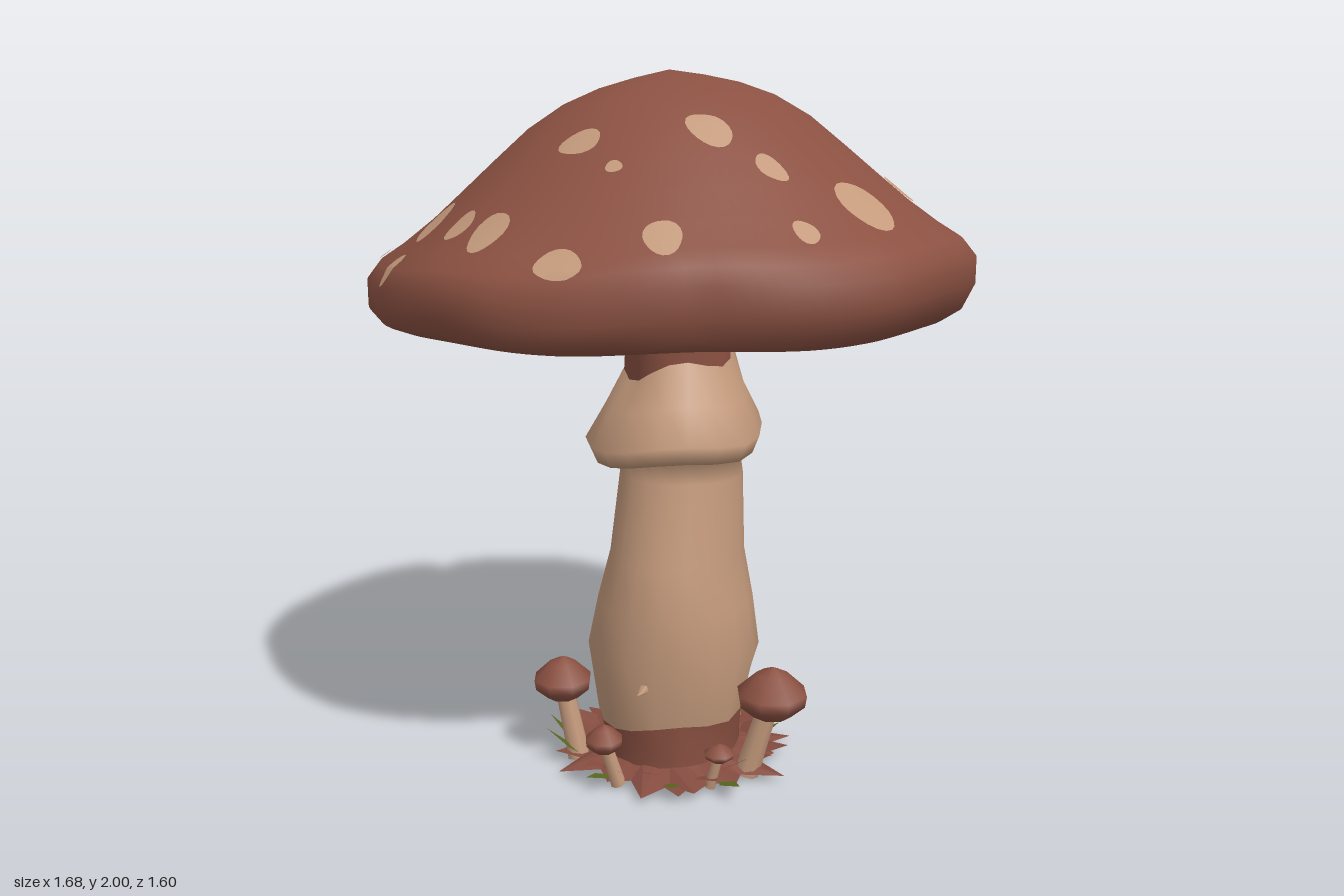
import * as THREE from 'three';

const mat = (name, color, opts = {}) => {
  const m = new THREE.MeshStandardMaterial({ color, ...opts });
  m.name = name;
  return m;
};

// Skin a list of rings (listed from the top down) with shared, smooth vertices.
function loft(rings) {
  const n = rings[0].length, pos = [], idx = [];
  rings.forEach(ring => ring.forEach(p => pos.push(...p)));
  for (let i = 0; i < rings.length - 1; i++) {
    for (let j = 0; j < n; j++) {
      const a = i * n + j, b = i * n + (j + 1) % n;
      idx.push(a, b, a + n, b, b + n, a + n);
    }
  }
  const g = new THREE.BufferGeometry();
  g.setAttribute('position', new THREE.Float32BufferAttribute(pos, 3));
  g.setIndex(idx);
  g.computeVertexNormals();
  return g;
}

const around = (n, fn) => Array.from({ length: n }, (_, j) => fn(j / n * Math.PI * 2, j));

// Cap rim seen from above, as [x, z] with two notches
const RIM = [
  [.84, -.04], [.82, .15], [.75, .38], [.6, .55], [.35, .68], [.15, .76], [0, .79], [-.16, .79],
  [-.4, .7], [-.6, .54], [-.74, .38], [-.83, .15], [-.84, 0], [-.83, -.17], [-.75, -.4], [-.67, -.52],
  [-.57, -.55], [-.485, -.525], [-.51, -.61], [-.42, -.7], [-.2, -.8], [.1, -.79], [.25, -.74],
  [.31, -.7], [.48, -.65], [.67, -.47], [.69, -.36], [.77, -.32],
].map(([x, z]) => ({ a: (Math.atan2(z, x) + Math.PI * 2) % (Math.PI * 2), r: Math.hypot(x, z) }))
  .sort((p, q) => p.a - q.a);

function rimRadius(angle) {
  const T = Math.PI * 2, a = ((angle % T) + T) % T, n = RIM.length;
  let k = RIM.findIndex(p => p.a > a);
  if (k < 0) k = 0;
  const p = RIM[(k + n - 1) % n], q = RIM[k];
  const span = (q.a - p.a + T) % T;
  return p.r + (q.r - p.r) * (((a - p.a + T) % T) / span);
}

// Cap profile as [fraction of radius, height]
const TOP = [[0, 2], [.12, 1.982], [.24, 1.958], [.36, 1.92], [.48, 1.86], [.6, 1.777], [.7, 1.705],
  [.8, 1.632], [.9, 1.565], [.965, 1.525], [1, 1.48]];
const LIP = [[1.0, 1.41], [.97, 1.36], [.92, 1.337], [.87, 1.342]];
const GILLS = [[.87, 1.342], [.6, 1.38], [.35, 1.43], [.12, 1.49]];

const capRadius = (s, a) => s * (.8 + (rimRadius(a) - .8) * s ** 6);
const capPoint = (s, y, a) => {
  const r = capRadius(s, a), x = r * Math.cos(a);
  const tilt = .05 * x * Math.min(1, (y - 1.3) * 10);
  return [x, y + tilt + .008 * s ** 6 * Math.sin(a * 7), r * Math.sin(a)];
};
const capRings = profile => profile.map(([s, y]) => around(120, a => capPoint(s, y, a)));

// Point on top of the cap above a given x, z
function onCap(x, z) {
  const a = Math.atan2(z, x), r = Math.hypot(x, z);
  let lo = 0, hi = 1;
  for (let i = 0; i < 24; i++) {
    const m = (lo + hi) / 2;
    if (capRadius(m, a) < r) lo = m; else hi = m;
  }
  let k = 1;
  while (k < TOP.length - 1 && TOP[k][0] < lo) k++;
  const [s0, y0] = TOP[k - 1], [s1, y1] = TOP[k];
  return new THREE.Vector3(...capPoint(lo, y0 + (y1 - y0) * (lo - s0) / (s1 - s0), a));
}

// Thin patch that follows the cap surface
function spotGeometry(cx, cz, rx, rz) {
  const c = onCap(cx, cz), e = .02;
  const normal = onCap(cx, cz + e).sub(onCap(cx, cz - e))
    .cross(onCap(cx + e, cz).sub(onCap(cx - e, cz))).normalize();
  c.addScaledVector(normal, .006);
  const ring = f => around(20, a => {
    const w = f * (1 + .06 * Math.sin(a * 3 + cx * 20));
    return onCap(cx + rx * w * Math.cos(a), cz + rz * w * Math.sin(a))
      .addScaledVector(normal, .006).toArray();
  });
  return loft([around(20, () => c.toArray()), ring(.35), ring(.7), ring(1)]);
}

const SPOTS = [
  [.02, -.745, .06, .035], [-.22, -.64, .05, .05], [-.33, -.58, .04, .04], [.24, -.65, .047, .042],
  [-.48, -.445, .05, .05], [-.56, -.285, .05, .06], [-.71, -.34, .015, .02], [-.05, -.45, .05, .03],
  [.055, -.51, .02, .014], [.24, -.36, .058, .04], [.38, -.38, .03, .05], [.5, -.385, .06, .045],
  [.525, -.475, .035, .022], [-.49, -.1, .033, .055], [-.49, .08, .035, .055], [-.695, .08, .02, .035],
  [-.71, .32, .016, .024], [-.485, .43, .05, .057], [-.55, .54, .035, .035], [-.335, .56, .04, .04],
  [-.22, .63, .052, .054], [.015, .735, .06, .035], [-.065, .43, .055, .034], [.235, .635, .047, .04],
  [.055, .5, .022, .015], [.24, .34, .06, .043], [.4, .345, .042, .03], [.61, .24, .074, .075],
  [.525, .46, .033, .03], [.615, -.11, .04, .055],
];

// Stem rows: height, centre x, centre z, radius x, radius z, wobble
const BAND = [1.21, .028, -.01, .152, .15, .04];
const ROOT = [.17, .01, 0, .214, .225, .025];
const STEM_TOP = [[1.5, .03, 0, .15, .15, 0], [1.35, .03, -.01, .15, .15, 0], BAND];
const STEM_MID = [
  BAND, [1.1, .026, 0, .2, .2, .02], [1.0, .02, 0, .252, .258, .025],
  [.95, .02, 0, .232, .24, .02], [.965, .03, 0, .172, .17, 0], [.88, .036, -.005, .178, .17, 0],
  [.65, .03, .01, .19, .228, 0], [.5, .02, 0, .225, .247, 0], [.35, .012, -.005, .252, .26, 0], ROOT];
const STEM_FOOT = [ROOT, [.08, .01, 0, .2, .21, 0], [.008, .01, 0, .2, .21, 0]];
const stemRings = rows => rows.map(([y, cx, cz, rx, rz, w]) => around(18, a => {
  const k = 1 + w * Math.sin(a * 5);
  const rise = .6 * Math.sin(a * 3 + 4) + .6 * (Math.cos(a) - Math.sin(a));
  return [cx + rx * k * Math.cos(a), y + w * rise, cz + rz * k * Math.sin(a)];
}));

export function createModel() {
  const root = new THREE.Group();
  const red = mat('capBrown', 0x8b5142);
  const tan = mat('stemTan', 0xc49a7c);
  const gill = mat('gillTan', 0xbd9a7c);
  const litter = mat('leafBrown', 0x854c40, { side: THREE.DoubleSide, flatShading: true });
  const green = mat('grassGreen', 0x5d6a22, { side: THREE.DoubleSide, flatShading: true });
  const add = (name, geometry, material, parent = root) => {
    const m = new THREE.Mesh(geometry, material);
    m.name = name;
    parent.add(m);
    return m;
  };

  // Cap
  add('cap', loft(capRings([...TOP, ...LIP])), red);
  add('gills', loft(capRings(GILLS)), gill);
  const spots = new THREE.Group();
  spots.name = 'capSpots';
  root.add(spots);
  SPOTS.forEach(s => add('spot', spotGeometry(...s), tan, spots));

  // Stem with its skirt, and the closed underside
  add('stemTop', loft(stemRings(STEM_TOP)), red);
  add('stem', loft(stemRings(STEM_MID)), tan);
  add('stemFoot', loft(stemRings(STEM_FOOT)), red);
  const sole = add('stemSole', new THREE.CircleGeometry(.21, 18), gill);
  sole.rotation.x = Math.PI / 2;
  sole.position.set(.01, .008, 0);
  const bump = add('stemBump', new THREE.ConeGeometry(.018, .06, 5), tan);
  bump.rotation.x = Math.PI / 2;
  bump.position.set(.02, .3, .265);

  // Ragged leaf litter around the foot
  const ragged = (r, y, spike) => around(30, (a, j) => {
    const k = r + (j % 2 ? spike * (.65 + .35 * Math.sin(j * 1.9)) : 0);
    return [.015 + k * 1.08 * Math.cos(a), y + (j % 2 ? spike * .1 * Math.sin(j * 2.7) : 0), .01 + k * Math.sin(a)];
  });
  add('litterRing', loft([ragged(.18, .05, 0), ragged(.255, .022, .1), ragged(.165, .003, 0)]), litter);

  // A pointed leaf standing at angle a, leaning outward
  function leaf(name, a, r, length, width, lift, material) {
    const s = new THREE.Shape([[0, 0], [width, length * .4], [0, length], [-width, length * .4]]
      .map(p => new THREE.Vector2(...p)));
    const m = add(name, new THREE.ShapeGeometry(s), material);
    m.rotation.order = 'YXZ';
    m.rotation.set(Math.PI / 2 - lift, Math.PI / 2 - a, 0);
    m.position.set(.01 + r * Math.cos(a), .025, r * Math.sin(a));
  }
  for (let i = 0; i < 18; i++) {
    leaf('litterLeaf', i * .349 + .1, .22 + .03 * Math.sin(i * 3), .11, .042, .3 + .3 * Math.sin(i * 1.7), litter);
  }
  [[-.3, .26, .16, 1.1], [-.5, .24, .1, .5], [.7, .28, .12, .3], [1.2, .26, .1, .35], [1.9, .27, .11, .3],
    [2.5, .28, .14, .75], [2.75, .28, .13, .85], [3.6, .26, .11, .5], [4.2, .26, .1, .4], [5.1, .26, .1, .4]]
    .forEach(([a, r, len, lift]) => leaf('grassBlade', a, r, len, .026, lift, green));

  // Small mushrooms: foot x, z; cap x, z; cap bottom, cap height, cap radius, stem radius
  const capShape = [[0, 1], [.45, .85], [1, .48], [.95, .25], [.55, 0], [0, .05]];
  [[-.23, .15, -.28, .15, .195, .125, .088, .034], [.27, .07, .34, .06, .2, .145, .104, .036],
    [-.05, .27, -.08, .3, .12, .08, .055, .022], [.2, .19, .23, .2, .1, .05, .044, .016],
    [.02, -.25, .02, -.28, .1, .065, .038, .016]]
    .forEach(([fx, fz, cx, cz, y, h, r, sr]) => {
      const g = new THREE.Group();
      g.name = 'smallMushroom';
      root.add(g);
      const foot = new THREE.Vector3(fx, .01, fz), head = new THREE.Vector3(cx, y + h * .4, cz);
      const dir = head.clone().sub(foot);
      const stalk = add('smallStem', new THREE.CylinderGeometry(sr * .8, sr, dir.length(), 8), tan, g);
      stalk.position.copy(foot).add(head).multiplyScalar(.5);
      stalk.quaternion.setFromUnitVectors(new THREE.Vector3(0, 1, 0), dir.normalize());
      const pts = capShape.map(([u, v]) => new THREE.Vector2(u * r, v * h)).reverse();
      add('smallCap', new THREE.LatheGeometry(pts, 8), red, g).position.set(cx, y, cz);
    });

  return root;
}
